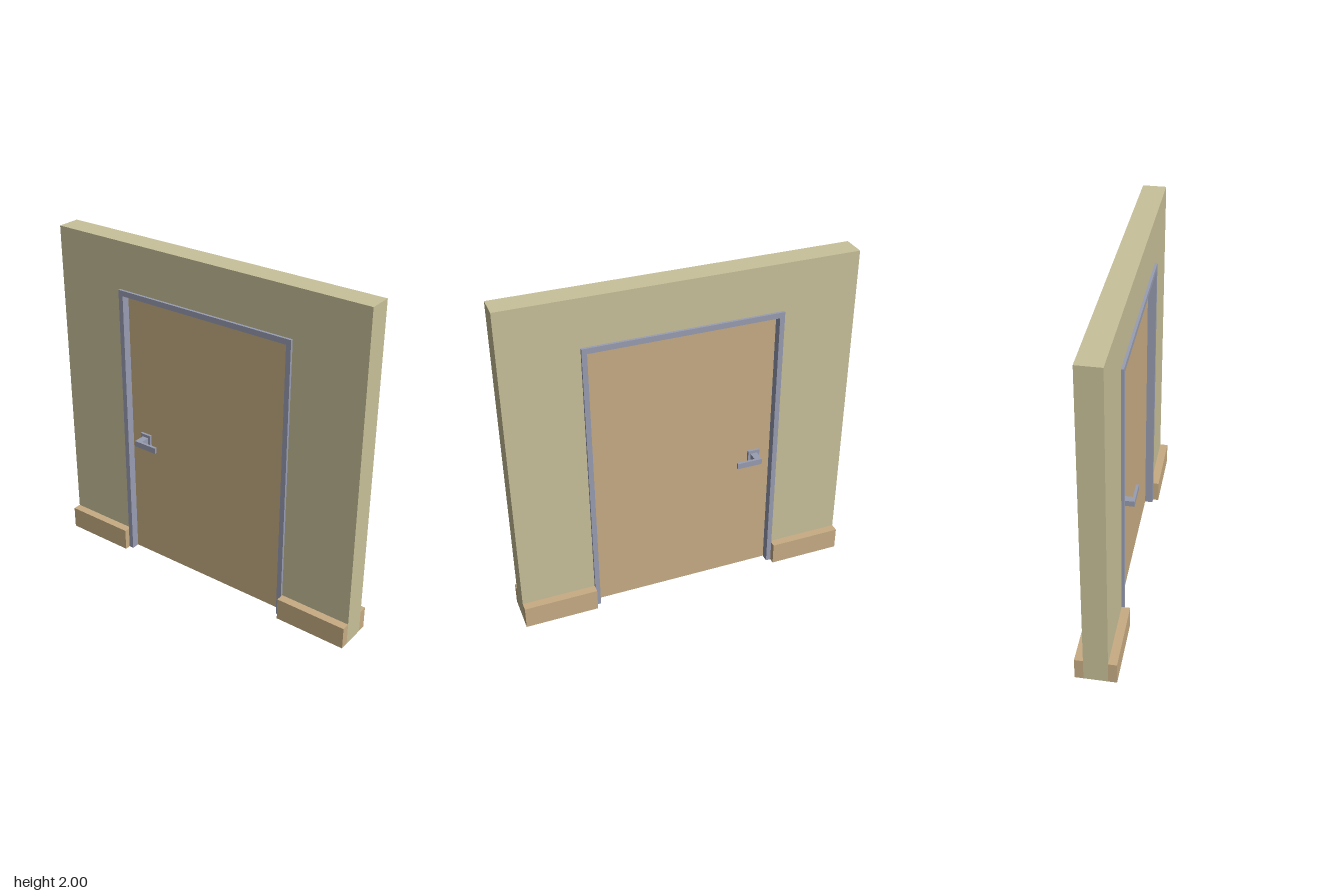
import * as THREE from 'three';

const wallPaint = new THREE.MeshStandardMaterial({ name: 'wallPaint', color: 0xc9c19a });
const wood = new THREE.MeshStandardMaterial({ name: 'wood', color: 0xc8ad84 });
const metal = new THREE.MeshStandardMaterial({ name: 'metal', color: 0x989db2 });

// Box given by its limits on each axis
function box(name, material, [x0, x1], [y0, y1], [z0, z1]) {
  const mesh = new THREE.Mesh(new THREE.BoxGeometry(x1 - x0, y1 - y0, z1 - z0), material);
  mesh.position.set((x0 + x1) / 2, (y0 + y1) / 2, (z0 + z1) / 2);
  mesh.name = name;
  return mesh;
}

// Upside-down U around a doorway, extruded evenly about z = 0
function portal(name, material, outerX, outerY, innerX, innerY, halfDepth) {
  const points = [
    [-outerX, 0], [-innerX, 0], [-innerX, innerY], [innerX, innerY],
    [innerX, 0], [outerX, 0], [outerX, outerY], [-outerX, outerY],
  ].map(([x, y]) => new THREE.Vector2(x, y));
  const geometry = new THREE.ExtrudeGeometry(new THREE.Shape(points), {
    depth: halfDepth * 2, bevelEnabled: false,
  });
  geometry.translate(0, 0, -halfDepth);
  const mesh = new THREE.Mesh(geometry, material);
  mesh.name = name;
  return mesh;
}

export function createModel() {
  const model = new THREE.Group();
  model.name = 'doorInWall';
  const wallZ = 0.068, frameZ = 0.083, doorZ = 0.035;
  const openX = 0.568, openY = 1.722, doorX = 0.539, doorY = 1.69;

  model.add(portal('wall', wallPaint, 1, 2, openX, openY, wallZ));
  model.add(portal('doorFrame', metal, openX, openY, doorX, doorY, frameZ));
  model.add(box('door', wood, [-doorX, doorX], [0, doorY], [-doorZ, doorZ]));

  for (const side of [1, -1]) {
    // Skirting boards on both faces of the wall, either side of the doorway
    const z = [wallZ, 0.117].map((v) => v * side).sort((a, b) => a - b);
    model.add(box('skirtingLeft', wood, [openX, 1], [0, 0.135], z));
    model.add(box('skirtingRight', wood, [-1, -openX], [0, 0.135], z));

    // Handle: backing plate, post and lever
    const span = (a, b) => [a * side, b * side].sort((p, q) => p - q);
    const handle = new THREE.Group();
    handle.name = side > 0 ? 'frontHandle' : 'backHandle';
    handle.add(
      box('handlePlate', metal, [-0.471, -0.401], [0.764, 0.836], span(doorZ, 0.05)),
      box('handlePost', metal, [-0.455, -0.415], [0.783, 0.818], span(0.05, 0.105)),
      box('handleLever', metal, [-0.455, -0.305], [0.783, 0.818], span(0.105, 0.121)),
    );
    model.add(handle);
  }
  return model;
}
